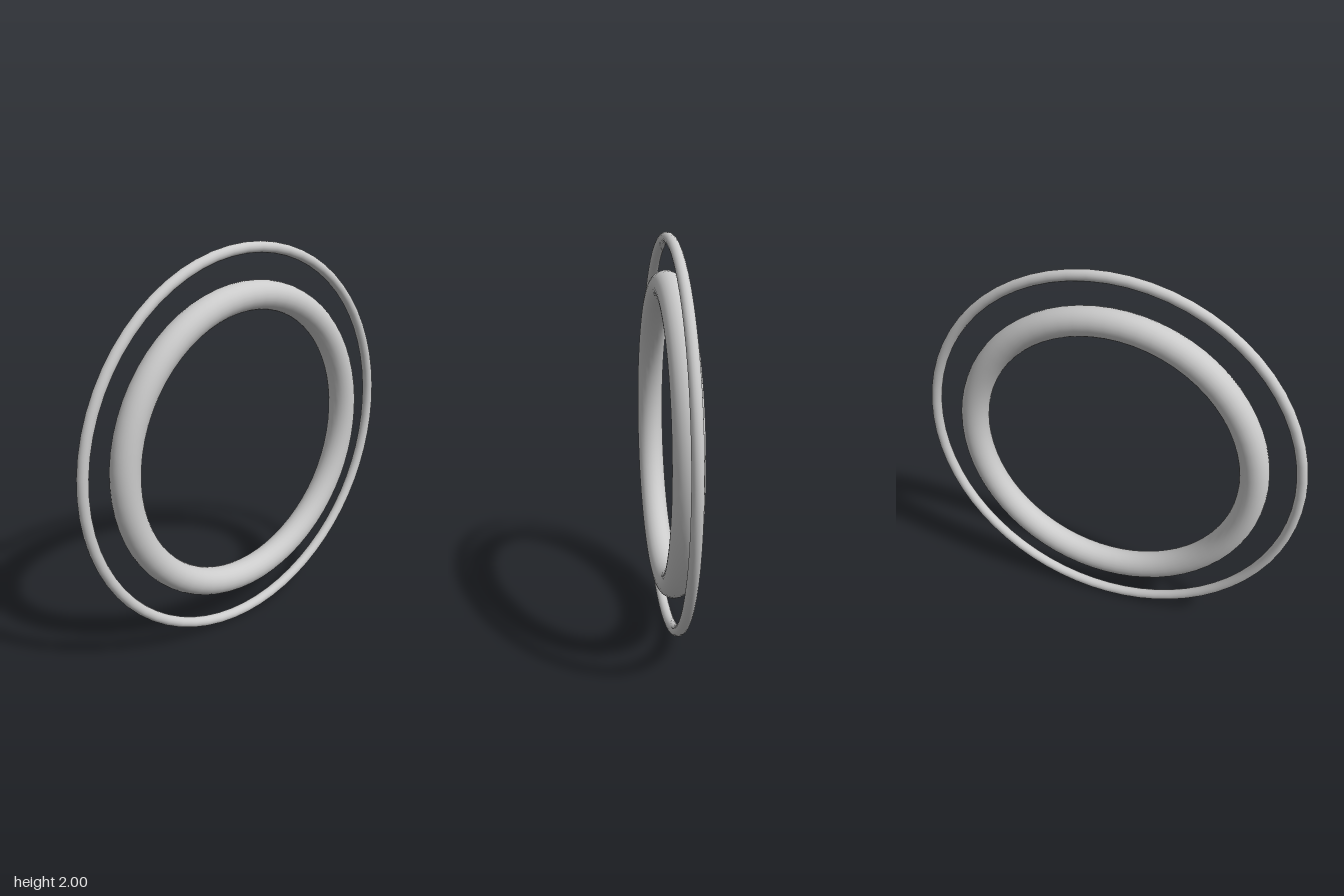
import * as THREE from 'three';

export function createModel() {
  const group = new THREE.Group();
  const material = new THREE.MeshStandardMaterial({ color: 0xcccccc });

  // Upright ring around the shared centre
  function addRing(name, radius, tube, tubeSides) {
    const ring = new THREE.Mesh(new THREE.TorusGeometry(radius, tube, tubeSides, 64), material);
    ring.name = name;
    ring.position.y = 1;
    group.add(ring);
  }

  addRing('thinOuterRing', 0.973, 0.027, 16);
  addRing('thickInnerRing', 0.747, 0.072, 24);

  return group;
}
